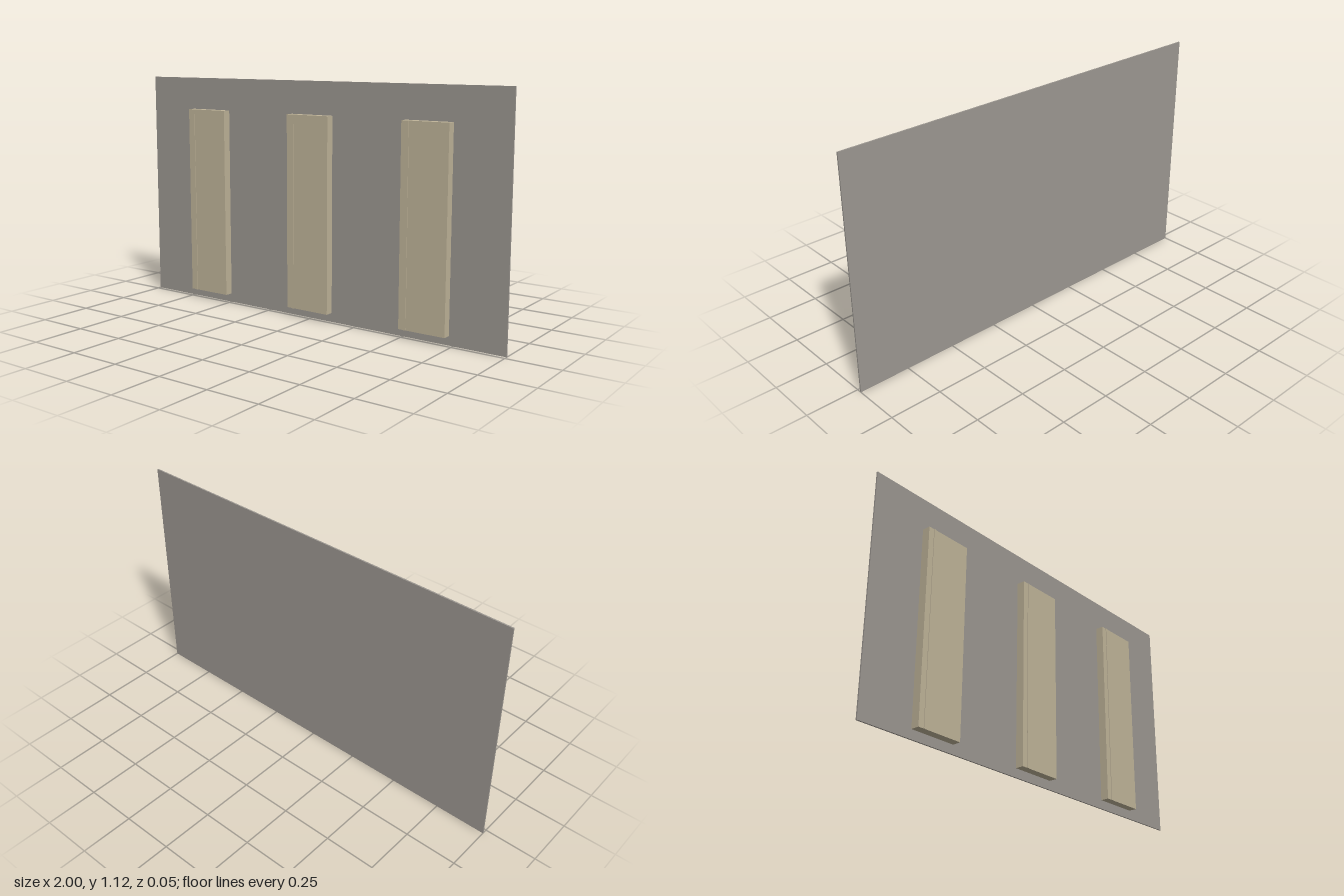
import * as THREE from 'three';

export function createModel() {
  const model = new THREE.Group();
  const wallGrey = new THREE.MeshStandardMaterial({ color: 0x9c9791 });
  wallGrey.name = 'wallGrey';
  const slatBeige = new THREE.MeshStandardMaterial({ color: 0xbfb499 });
  slatBeige.name = 'slatBeige';

  // Box given by its lower and upper corners
  function box(name, material, [x0, y0, z0], [x1, y1, z1], parent) {
    const mesh = new THREE.Mesh(new THREE.BoxGeometry(x1 - x0, y1 - y0, z1 - z0), material);
    mesh.position.set((x0 + x1) / 2, (y0 + y1) / 2, (z0 + z1) / 2);
    mesh.name = name;
    parent.add(mesh);
  }

  // Thin back panel
  box('backPanel', wallGrey, [-1, 0, -0.025], [1, 1.12, -0.018], model);

  // Three upright slats, each with a thin raised rib near its right edge
  for (const x of [-0.615, 0, 0.615]) {
    const slat = new THREE.Group();
    slat.name = 'slat';
    slat.position.x = x;
    box('slatBoard', slatBeige, [-0.115, 0.043, -0.018], [0.115, 0.965, 0.022], slat);
    box('slatRib', slatBeige, [-0.087, 0.043, 0.022], [-0.077, 0.965, 0.025], slat);
    model.add(slat);
  }
  return model;
}
